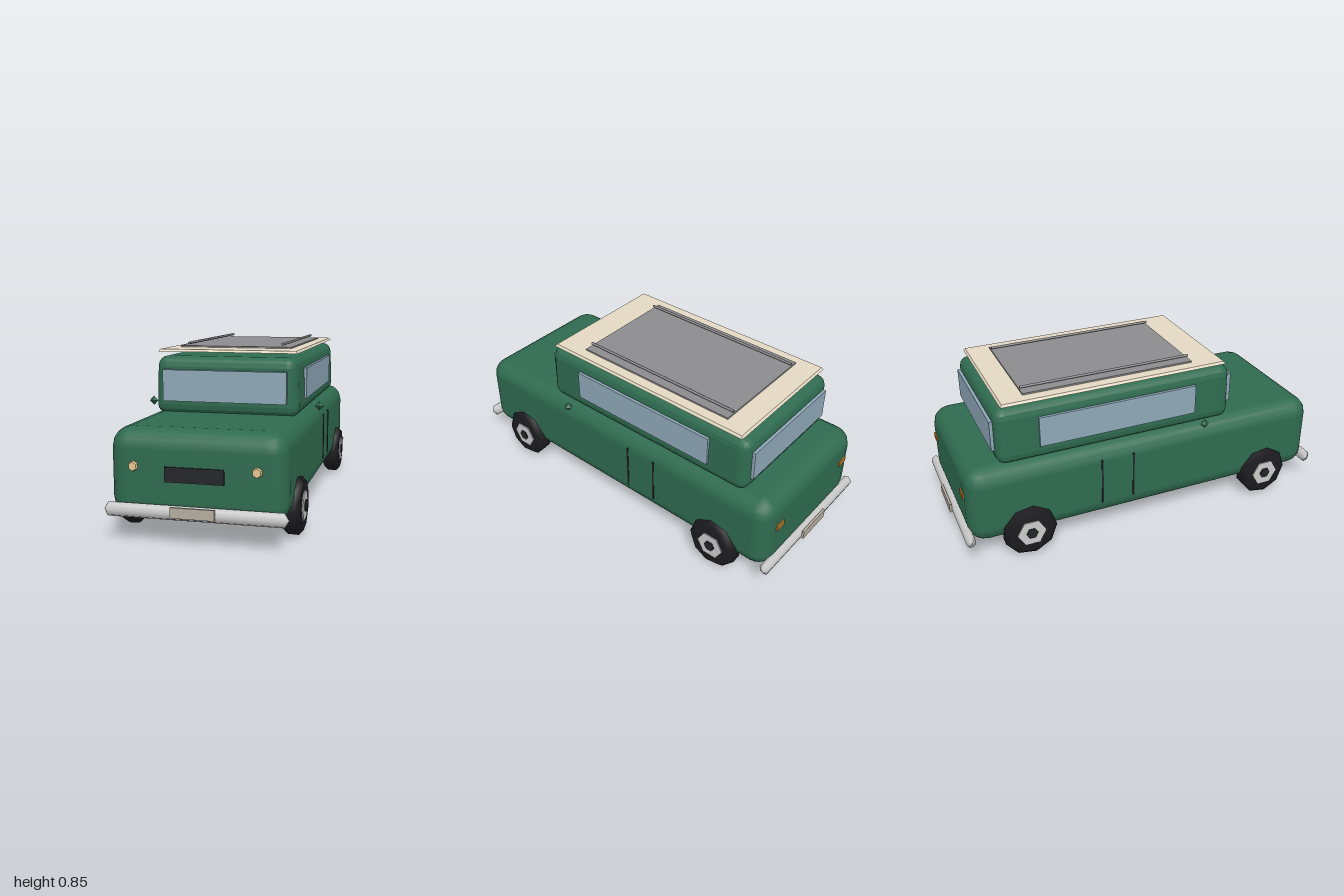
import * as THREE from 'three';
import { RoundedBoxGeometry } from 'three/addons/geometries/RoundedBoxGeometry.js';

const mat = (color, extra = {}) => new THREE.MeshStandardMaterial({ color, ...extra });
const GREEN = mat(0x2f6b50), GLASS = mat(0x8fa8b8), CREAM = mat(0xe3d8c2), DARK = mat(0x25262a);
const TYRE = mat(0x1c1c20), CHROME = mat(0xd4d4d6), METAL = mat(0x8c8c8e), PLATE = mat(0xb5ada0);
const LAMP = mat(0xe8c890, { flatShading: true }), AMBER = mat(0xb87a28);

export function createModel() {
  const car = new THREE.Group();
  car.name = 'offRoadCar';

  const add = (name, geometry, material, x = 0, y = 0, z = 0) => {
    const mesh = new THREE.Mesh(geometry, material);
    mesh.name = name;
    mesh.position.set(x, y, z);
    car.add(mesh);
    return mesh;
  };
  const box = (w, h, d) => new THREE.BoxGeometry(w, h, d);

  // Lower body
  add('body', new RoundedBoxGeometry(0.81, 0.41, 1.92, 2, 0.09), GREEN, 0, 0.308, 0);

  // Cabin, narrowing a little towards the roof
  const cabin = new RoundedBoxGeometry(0.72, 0.29, 1.25, 2, 0.05);
  const p = cabin.attributes.position;
  for (let i = 0; i < p.count; i++) {
    p.setX(i, p.getX(i) * (1 - 0.1 * (p.getY(i) + 0.08)));
  }
  cabin.computeVertexNormals();
  add('cabin', cabin, GREEN, 0, 0.645, -0.165);

  // Windows
  add('windscreen', box(0.62, 0.155, 0.04), GLASS, 0, 0.648, 0.465);
  add('rearWindow', box(0.62, 0.155, 0.04), GLASS, 0, 0.648, -0.785);

  // Roof panel with bevelled rim, sunroof and two rails
  const roof = box(0.705, 0.012, 1.18);
  const r = roof.attributes.position;
  for (let i = 0; i < r.count; i++) {
    if (r.getY(i) > 0) r.setXYZ(i, r.getX(i) * 0.975, r.getY(i), r.getZ(i) * 0.985);
  }
  roof.computeVertexNormals();
  add('roofPanel', roof, CREAM, 0, 0.816, -0.165);
  add('sunroof', box(0.58, 0.008, 0.89), METAL, 0, 0.826, -0.185);
  for (const x of [-0.245, 0.245]) {
    const rail = add('roofRail', new THREE.CylinderGeometry(0.007, 0.007, 0.89, 6), METAL, x, 0.843, -0.185);
    rail.rotation.x = Math.PI / 2;
  }

  // Tyre profile: radius against width
  const tyre = new THREE.LatheGeometry(
    [[0.06, -0.045], [0.115, -0.047], [0.136, -0.025], [0.138, 0.025], [0.115, 0.047], [0.06, 0.045]]
      .map(([a, b]) => new THREE.Vector2(a, b)), 9);

  for (const s of [-1, 1]) {
    add('sideWindow', box(0.025, 0.155, 0.83), GLASS, s * 0.356, 0.65, -0.165);
    add('wingMirror', new THREE.OctahedronGeometry(0.024), GREEN, s * 0.438, 0.54, 0.27);
    for (const z of [-0.11, -0.28]) add('doorSeam', box(0.008, 0.25, 0.009), DARK, s * 0.404, 0.315, z);

    // Wheels
    for (const z of [-0.67, 0.67]) {
      const wheel = new THREE.Group();
      wheel.name = 'wheel';
      const part = (name, geometry, material, y) => {
        const m = new THREE.Mesh(geometry, material);
        m.name = name;
        m.position.y = y;
        wheel.add(m);
      };
      part('tyre', tyre, TYRE, 0);
      part('rim', new THREE.CylinderGeometry(0.074, 0.074, 0.1, 6), CHROME, 0.001);
      part('hubCap', new THREE.CylinderGeometry(0.03, 0.03, 0.02, 6), DARK, 0.047);
      wheel.position.set(s * 0.388, 0.138, z);
      wheel.rotation.z = -s * Math.PI / 2;
      car.add(wheel);
    }

    // Lamps
    const lamp = add('headlight', new THREE.CylinderGeometry(0.02, 0.03, 0.03, 6), LAMP, s * 0.28, 0.347, 0.958);
    lamp.rotation.x = Math.PI / 2;
    add('tailLight', box(0.06, 0.03, 0.02), AMBER, s * 0.29, 0.36, -0.957);

    // Bumpers (front and back) with pointed inner ends, and number plates
    const bumper = new THREE.LatheGeometry(
      [[0, -0.42], [0.033, -0.4], [0.033, 0.4], [0, 0.42]].map(([a, b]) => new THREE.Vector2(a, b)), 8);
    const bar = add('bumper', bumper, CHROME, 0, 0.148, s * 0.965);
    bar.rotation.z = Math.PI / 2;
    bar.scale.z = 0.75;
    add('numberPlate', box(0.2, 0.048, 0.012), PLATE, 0, 0.157, s * 0.994);
  }

  // Front grille
  add('grille', box(0.27, 0.068, 0.02), DARK, 0, 0.318, 0.957);

  return car;
}
